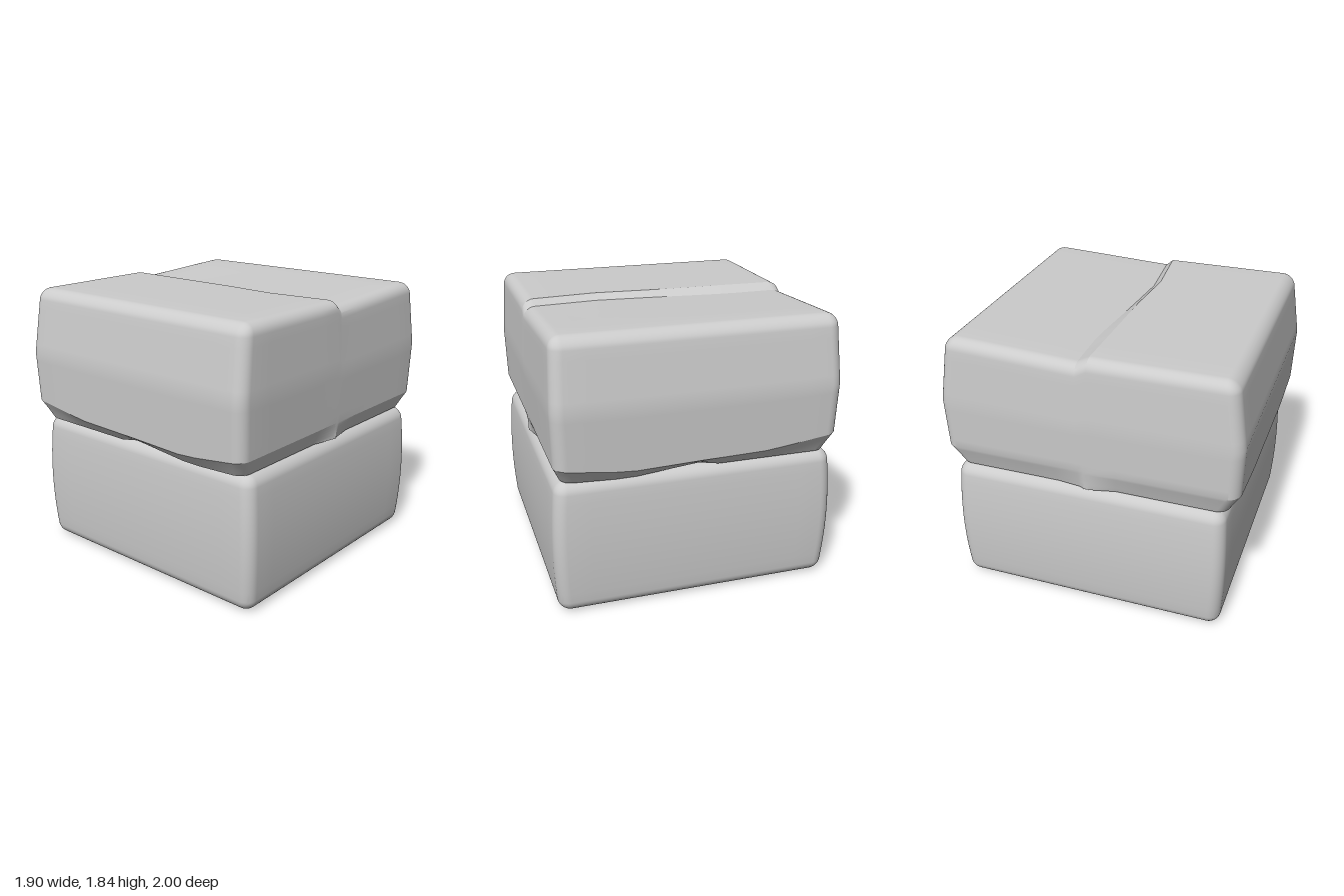
import * as THREE from 'three';
import { mergeVertices, toCreasedNormals } from 'three/addons/utils/BufferGeometryUtils.js';

const material = new THREE.MeshStandardMaterial({ color: 0xcccccc });
const ROUND = 5, INNER = 12, SEG = INNER + 2 * ROUND;

// Piecewise linear curve through [position, value] pairs.
function curve(points, t) {
  if (t <= points[0][0]) return points[0][1];
  for (let i = 1; i < points.length; i++) {
    const [a, va] = points[i - 1], [b, vb] = points[i];
    if (t <= b) return va + (vb - va) * (t - a) / (b - a);
  }
  return points[points.length - 1][1];
}

// Box with rounded edges and evenly divided faces; warp() then moves each vertex.
function roundedBlock(name, half, r, roundBottom, warp) {
  const geo = new THREE.BoxGeometry(SEG, SEG, SEG, SEG, SEG, SEG);
  geo.deleteAttribute('uv');
  geo.deleteAttribute('normal');
  const pos = geo.attributes.position;
  const core = new THREE.Vector3(), off = new THREE.Vector3(), v = new THREE.Vector3();
  for (let i = 0; i < pos.count; i++) {
    v.fromBufferAttribute(pos, i);
    for (const a of ['x', 'y', 'z']) {
      const n = Math.abs(v[a]), s = Math.sign(v[a]), inner = half[a] - r;
      const over = Math.max(0, n - INNER / 2) / ROUND;
      core[a] = s * inner * Math.min(1, n / (INNER / 2));
      // tangent spacing gives an even arc
      off[a] = s * r * Math.tan(over * Math.PI / 4);
    }
    const flatY = !roundBottom && v.y < 0 ? off.y : null;
    if (flatY !== null) off.y = 0;
    // interior points of the bottom cap keep their place
    const len = off.length();
    const biggest = Math.max(Math.abs(off.x), Math.abs(off.y), Math.abs(off.z));
    if (len > 0) off.multiplyScalar(biggest / len);
    if (flatY !== null) off.y = flatY;
    v.copy(core).add(off);
    warp(v);
    pos.setXYZ(i, v.x, v.y, v.z);
  }
  const mesh = new THREE.Mesh(toCreasedNormals(mergeVertices(geo, 1e-5), 0.36), material);
  mesh.name = name;
  return mesh;
}

// Lower block: slightly bulging sides and a small dent under its centre
function lowerBlock() {
  const half = new THREE.Vector3(0.92, 0.46, 0.915), r = 0.08;
  const squeeze = (h, t) => {
    const e = h - r, k = e / 6;
    return curve([[-h, -h], [-e, -e], [-k, -0.07], [k, 0.07], [e, e], [h, h]], t);
  };
  return roundedBlock('lowerBlock', half, r, true, v => {
    const bulge = 1 + 0.03 * (1 - (v.y / half.y) ** 2);
    if (v.y < -0.45 && Math.hypot(v.x, v.z) < 0.01) v.y += 0.05;
    v.x = squeeze(half.x, v.x) * bulge;
    v.z = squeeze(half.z, v.z) * (1 + (bulge - 1) * 0.8) - 0.015;
    v.y += half.y;
  });
}

// Upper block: undercut wavy base, sides leaning in above the middle, step across the top
function upperBlock() {
  const half = new THREE.Vector3(0.93, 0.46, 1), r = 0.08;
  const crease = [[-0.9, 1.06], [-0.45, 1.0], [0, 0.99], [0.48, 0.975], [0.9, 1.03]];
  const base = [[-0.93, 0.92], [-0.14, 0.92], [0, 0.945], [0.48, 0.9], [0.93, 0.92]];
  const stepHigh = [[-0.9, 0.02], [-0.5, 0.03], [0, 0.04], [0.42, 0.07], [0.9, 0.02]];
  const stepLow = [[-0.9, -0.06], [-0.5, -0.07], [0, -0.02], [0.42, 0.015], [0.9, -0.03]];
  const lean = [[0.98, 0.985], [1.4, 1], [1.78, 0.945], [1.84, 0.93]];
  const widen = [[0.98, 1], [1.4, 1.014], [1.78, 0.993]];
  return roundedBlock('upperBlock', half, r, false, v => {
    const inner = half.z - r, k = inner / 6;
    const hi = curve(stepHigh, v.x), lo = curve(stepLow, v.x);
    const z = curve([[-1, -1], [-inner, -inner], [-k, lo], [k, hi], [inner, inner], [1, 1]], v.z);
    // height: the lowest band becomes the undercut
    const x = v.x, bottom = curve(base, x), edge = curve(crease, x);
    const y = curve([[-half.y, bottom], [-half.y + r, edge], [0, 1.4], [half.y, 1.84]], v.y);
    const under = Math.max(0, Math.min(1, (edge - y) / (edge - bottom)));
    // the step drops the rear half, which climbs back towards its far edge
    const drop = 0.04 * curve([[-0.9, 0], [lo, 1], [hi, 0]], z);
    const sideInset = 0.05 * Math.min(1, Math.abs(z) / 0.1);
    v.x = x * curve(widen, y) * (1 - sideInset * under);
    v.z = z * (curve(lean, y) - 0.07 * under);
    v.y = y - drop * Math.max(0, Math.min(1, (y - 1.1) / 0.65));
  });
}

export function createModel() {
  const model = new THREE.Group();
  model.name = 'stackedBlocks';
  model.add(lowerBlock(), upperBlock());
  return model;
}
